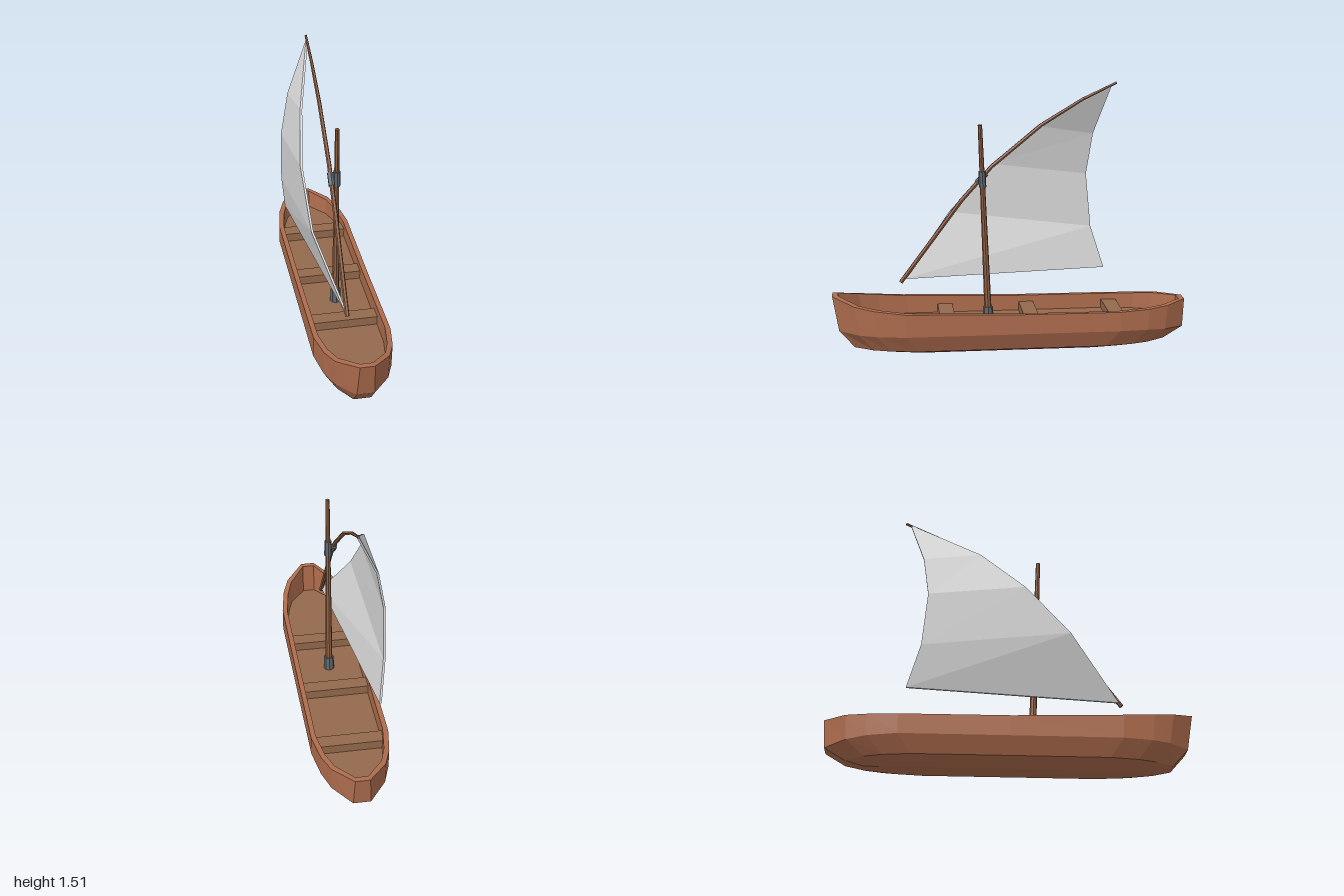
import * as THREE from 'three';

const mat = (name, color) => {
  const m = new THREE.MeshStandardMaterial({ color });
  m.name = name;
  return m;
};

// Faceted surface from rows of points; extra holds additional quads (end caps)
function skin(rows, extra = []) {
  const pos = [];
  const quad = (a, b, c, d) => pos.push(...a, ...b, ...c, ...a, ...c, ...d);
  for (let i = 0; i < rows.length - 1; i++)
    for (let j = 0; j < rows[i].length - 1; j++)
      quad(rows[i][j], rows[i][j + 1], rows[i + 1][j + 1], rows[i + 1][j]);
  extra.forEach(q => quad(...q));
  const g = new THREE.BufferGeometry();
  g.setAttribute('position', new THREE.Float32BufferAttribute(pos, 3));
  g.computeVertexNormals();
  return g;
}

// Faceted tapered rod between two points
function rod(p, q, r0, r1, sides) {
  const a = new THREE.Vector3(...p), b = new THREE.Vector3(...q);
  const dir = b.clone().sub(a);
  let g = new THREE.CylinderGeometry(r1, r0, dir.length(), sides).toNonIndexed();
  g.computeVertexNormals();
  g.applyQuaternion(new THREE.Quaternion().setFromUnitVectors(new THREE.Vector3(0, 1, 0), dir.normalize()));
  g.translate(...a.add(b).multiplyScalar(0.5).toArray());
  return g;
}

export function createModel() {
  const group = new THREE.Group();
  const hullWood = mat('hull wood', 0xad6c4d);
  const deckWood = mat('deck wood', 0x93694c);
  const sparWood = mat('spar wood', 0x8f5f42);
  const metal = mat('grey metal', 0x60676d);
  const cloth = mat('sail cloth', 0xd9d9d9);
  const add = (name, geo, material) => {
    const m = new THREE.Mesh(geo, material);
    m.name = name;
    group.add(m);
    return m;
  };

  // Hull stations: z, half width, rim height, bilge height, bilge z factor, keel height
  const floorY = 0.16;
  const stations = [
    [1, 0.04, 0.335, 0.135, 0.965, 0.012],
    [0.88, 0.145, 0.3, 0.135, 0.97, 0.006],
    [0.77, 0.185, 0.282, 0.135, 0.98, 0.003],
    [0.6, 0.213, 0.265, 0.135, 0.99, 0],
    [0, 0.213, 0.248, 0.135, 1, 0],
    [-0.6, 0.213, 0.245, 0.135, 1, 0],
    [-0.77, 0.185, 0.25, 0.13, 0.99, 0.003],
    [-0.88, 0.145, 0.257, 0.12, 0.99, 0.006],
    [-1, 0.04, 0.265, 0.105, 0.99, 0.012],
  ];
  const rows = stations.map(([z, w, top, bilge, bz, keel]) => {
    const half = [
      [w * 0.86, floorY, z * 0.953],
      [w * 0.87, top, z * 0.968],
      [w, top, z],
      [Math.max(w, 0.048), bilge, z * bz],
      [Math.max(w * 0.8, 0.048), 0.038, z * 0.88],
      [Math.max(w * 0.33, 0.035), keel, z * 0.78],
    ];
    return [...half, ...half.map(([x, y, zz]) => [-x, y, zz]).reverse()];
  });
  const caps = [];
  const bow = rows[0], stern = rows[rows.length - 1];
  for (let k = 0; k < 5; k++) {
    caps.push([bow[k], bow[11 - k], bow[10 - k], bow[k + 1]]);
    caps.push([stern[k], stern[k + 1], stern[10 - k], stern[11 - k]]);
  }
  add('hull', skin(rows, caps), hullWood);

  // Floor boards inside the hull
  add('floor', skin(rows.map(r => [r[11], r[0]])), deckWood);

  // Three cross benches
  for (const z of [0.36, -0.112, -0.598])
    add('bench', new THREE.BoxGeometry(0.372, 0.05, 0.085).translate(0, floorY + 0.025, z), deckWood);

  // Mast, leaning slightly forward, with its foot collar and upper band
  const mastAt = y => [0, y, 0.123 + (y - floorY) * 0.0384];
  add('mast', rod(mastAt(floorY), mastAt(1.28), 0.021, 0.012, 8), sparWood);
  add('mastFoot', rod(mastAt(floorY), mastAt(0.24), 0.031, 0.028, 8), metal);
  add('mastBand', rod(mastAt(0.93), mastAt(1.02), 0.021, 0.02, 8), metal);

  // Curved yard: x, y, z, radius along its length
  const yard = [
    [-0.03, 0.387, 0.615, 0.0125], [-0.032, 0.85, 0.27, 0.0125], [-0.032, 1.04, 0.1, 0.012],
    [-0.033, 1.27, -0.18, 0.011], [-0.034, 1.41, -0.41, 0.009], [-0.035, 1.5, -0.6, 0.007],
  ];
  const yardRows = yard.map(([x, y, z, r], i) => {
    const p = yard[Math.max(i - 1, 0)], q = yard[Math.min(i + 1, yard.length - 1)];
    const len = Math.hypot(q[1] - p[1], q[2] - p[2]);
    const ny = (q[2] - p[2]) / len, nz = -(q[1] - p[1]) / len;
    return Array.from({ length: 7 }, (_, j) => {
      const a = (j % 6) * Math.PI / 3;
      return [x + r * Math.cos(a), y + r * Math.sin(a) * ny, z + r * Math.sin(a) * nz];
    });
  });
  const point = k => Array.from({ length: 7 }, () => yard[k].slice(0, 3));
  add('yard', skin([point(0), ...yardRows, point(yard.length - 1)]), sparWood);
  add('yardBand', rod([-0.032, 0.948, 0.181], [-0.032, 1.002, 0.132], 0.018, 0.018, 6), metal);

  // Billowing sail: luff and leech corners of each row, from foot to peak
  const sailRows = [
    [[-0.035, 0.405, 0.6], [-0.174, 0.41, -0.565]],
    [[-0.166, 0.76, 0.33], [-0.204, 0.65, -0.49]],
    [[-0.181, 1.03, 0.08], [-0.204, 0.96, -0.46]],
    [[-0.137, 1.25, -0.17], [-0.158, 1.2, -0.49]],
    [[-0.036, 1.483, -0.56], [-0.036, 1.48, -0.57]],
  ];
  const section = ([luff, leech], t) => [[leech, -t], [luff, -t], [luff, t], [leech, t], [leech, -t]]
    .map(([p, d]) => [p[0] + d, p[1], p[2]]);
  add('sail', skin([
    section(sailRows[0], 0),
    ...sailRows.map(r => section(r, 0.006)),
    section(sailRows[4], 0),
  ]), cloth);

  return group;
}
